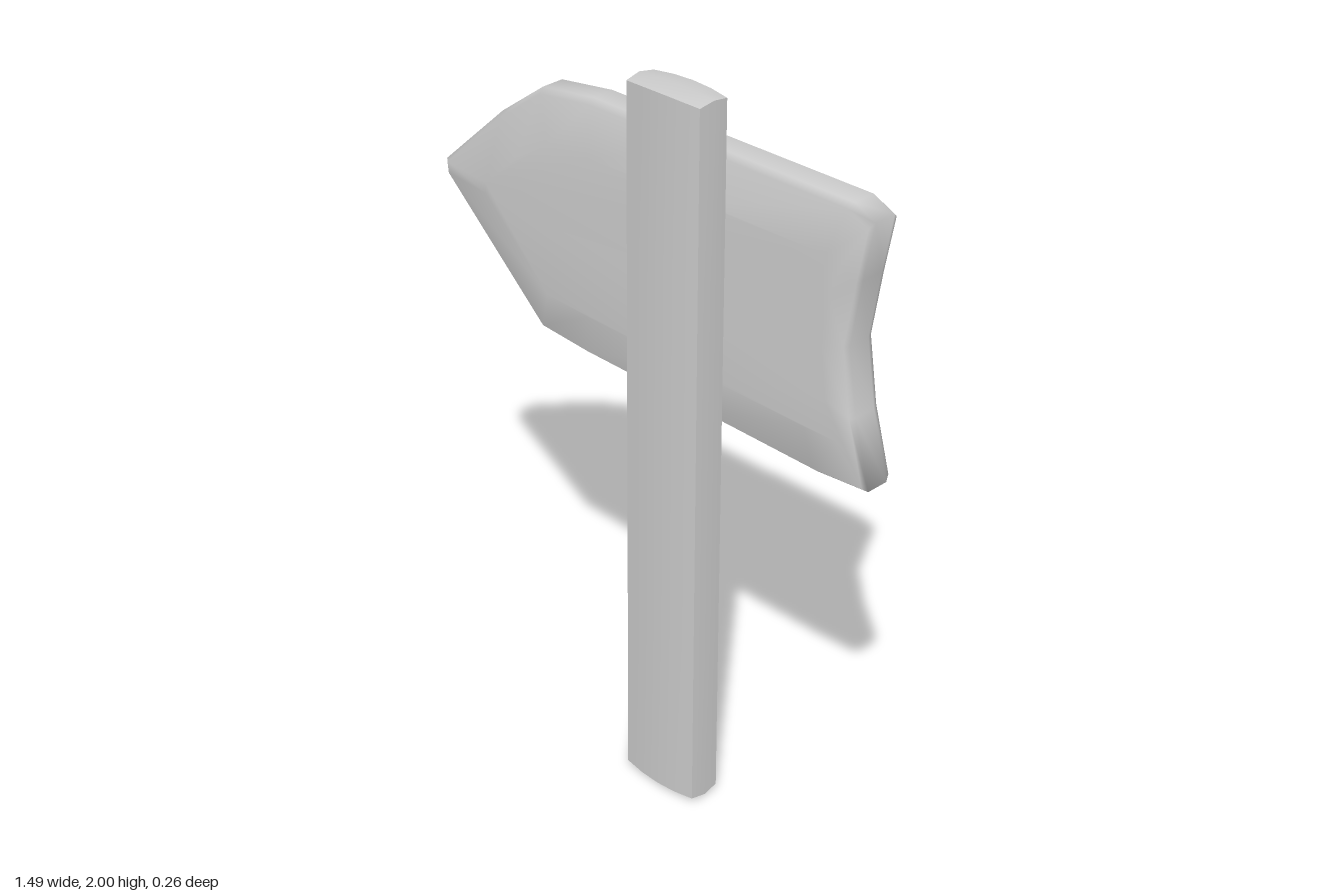
import * as THREE from 'three';
import { toCreasedNormals } from 'three/addons/utils/BufferGeometryUtils.js';

const material = () => new THREE.MeshStandardMaterial({ color: 0xcccccc });

// Flat post with slightly bulging faces and ends
function makePost() {
  const w = 0.122, h = 1, d = 0.055;
  const geo = new THREE.BoxGeometry(2 * w, 2 * h, 2 * d, 4, 4, 2);
  const p = geo.attributes.position;
  for (let i = 0; i < p.count; i++) {
    const u = p.getX(i) / w, v = p.getY(i) / h, s = p.getZ(i) / d;
    p.setXYZ(i,
      u * w * (1 - 0.025 * s * s),
      v * h * (1 - 0.006 * u * u - 0.008 * s * s),
      s * d * (1 - 0.17 * u * u));
  }
  const post = new THREE.Mesh(toCreasedNormals(geo, 0.7), material());
  post.position.set(0.187, 1, 0.075);
  post.name = 'post';
  return post;
}

// Arrow board: rim outline paired with the edge of its raised face
function makeBoard() {
  const outline = [ // rim x, rim y, face x, face y
    [-0.75, 1.478, -0.56, 1.48], [-0.745, 1.448, -0.56, 1.45],
    [-0.37, 1.118, -0.33, 1.24], [-0.2, 1.104, -0.18, 1.23],
    [0.2, 1.092, 0.2, 1.22], [0.58, 1.08, 0.56, 1.21],
    [0.742, 1.09, 0.66, 1.21], [0.69, 1.27, 0.62, 1.31],
    [0.66, 1.45, 0.6, 1.45], [0.688, 1.63, 0.62, 1.58],
    [0.715, 1.785, 0.65, 1.67], [0.65, 1.815, 0.6, 1.68],
    [0.2, 1.815, 0.2, 1.68], [-0.2, 1.815, -0.18, 1.67],
    [-0.38, 1.79, -0.33, 1.66], [-0.53, 1.68, -0.45, 1.58],
  ];
  // Each ring: blend from rim to face, and depth
  const rings = [[1, 0.012], [0.1, -0.008], [0, -0.024], [0, -0.09], [0.1, -0.106], [1, -0.127]];
  const n = outline.length, pos = [], idx = [];
  for (const [t, z] of rings)
    for (const [x, y, fx, fy] of outline)
      pos.push(x + (fx - x) * t, y + (fy - y) * t, z - 0.02 * (y - 1.45) * (1 - 0.5 * t));
  for (let r = 0; r < rings.length - 1; r++)
    for (let i = 0; i < n; i++) {
      const j = (i + 1) % n, a = r * n + i, b = r * n + j;
      idx.push(a, a + n, b, b, a + n, b + n);
    }
  // Front and back faces
  const face = outline.map(([, , x, y]) => new THREE.Vector2(x, y));
  const last = (rings.length - 1) * n;
  for (const [a, b, c] of THREE.ShapeUtils.triangulateShape(face, []))
    idx.push(a, b, c, last + c, last + b, last + a);
  const geo = new THREE.BufferGeometry();
  geo.setAttribute('position', new THREE.Float32BufferAttribute(pos, 3));
  geo.setIndex(idx);
  geo.computeVertexNormals();
  const board = new THREE.Mesh(geo, material());
  board.name = 'arrowBoard';
  return board;
}

export function createModel() {
  const group = new THREE.Group();
  group.name = 'signpost';
  group.add(makePost(), makeBoard());
  return group;
}
